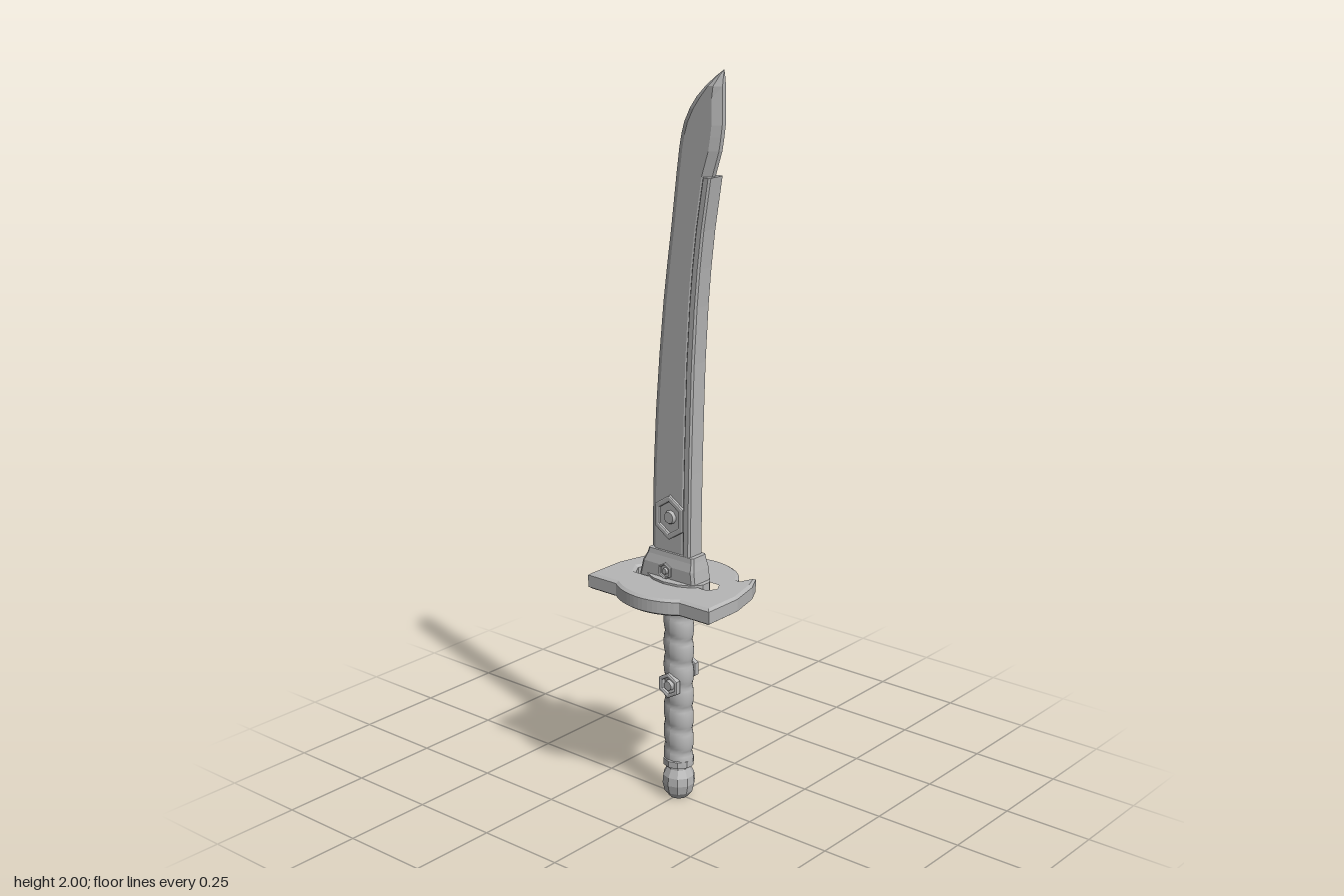
import * as THREE from 'three';

const steel = new THREE.MeshStandardMaterial({ color: 0xb6b6b6 });
steel.name = 'grey steel';

// Flat-shaded solid through horizontal rings of [x, y, z], each counter-clockwise from above
function loft(rings) {
  const pos = [];
  const tri = (a, b, c) => pos.push(...a, ...b, ...c);
  const n = rings[0].length;
  for (let k = 0; k < rings.length - 1; k++) {
    for (let i = 0; i < n; i++) {
      const j = (i + 1) % n, a = rings[k], b = rings[k + 1];
      tri(a[i], a[j], b[j]);
      tri(a[i], b[j], b[i]);
    }
  }
  const low = rings[0], top = rings[rings.length - 1];
  for (let i = 1; i < n - 1; i++) {
    tri(low[0], low[i + 1], low[i]);
    tri(top[0], top[i], top[i + 1]);
  }
  const g = new THREE.BufferGeometry();
  g.setAttribute('position', new THREE.Float32BufferAttribute(pos, 3));
  g.computeVertexNormals();
  return g;
}

// Ring with bevelled ends: l..r in x, half thickness t, bevel b, blunt end half thickness e
function section(y, l, r, t, b, e) {
  return [[l, y, e], [l + b, y, t], [r - b, y, t], [r, y, e],
    [r, y, -e], [r - b, y, -t], [l + b, y, -t], [l, y, -e]];
}

function part(name, geometry, parent) {
  const m = new THREE.Mesh(geometry, steel);
  m.name = name;
  parent.add(m);
  return m;
}

function hexagon(rx, ry, Type = THREE.Shape) {
  const pts = [];
  for (let i = 0; i < 6; i++) {
    const a = (i + 0.5) * Math.PI / 3;
    pts.push(new THREE.Vector2(Math.cos(a) * rx, Math.sin(a) * ry));
  }
  return new Type(pts);
}

// Hexagonal frame with a round bolt in it, facing +z from z = 0
function hexOrnament(name, rx, ry, depth, inner, boltRadius) {
  const g = new THREE.Group();
  g.name = name;
  const frame = hexagon(rx, ry);
  frame.holes.push(hexagon(rx * inner, ry * inner, THREE.Path));
  part(name + 'Frame', new THREE.ExtrudeGeometry(frame, {
    depth: depth - 0.002, bevelThickness: 0.002, bevelSize: 0.003, bevelOffset: -0.003, bevelSegments: 1
  }), g);
  const bolt = part(name + 'Bolt', new THREE.CylinderGeometry(boltRadius * 0.8, boltRadius, depth, 10), g);
  bolt.rotation.x = Math.PI / 2;
  bolt.position.z = depth / 2;
  return g;
}

// Puts an ornament on the front, and a turned copy on the back
function bothSides(parent, make, x, yFront, yBack, z) {
  const front = make(), back = make();
  front.position.set(x, yFront, z);
  back.position.set(x, yBack, -z);
  back.rotation.y = Math.PI;
  parent.add(front, back);
}

export function createModel() {
  const sword = new THREE.Group();
  sword.name = 'curvedSword';

  // Curved blade: height, cutting edge x, spine x
  const stations = [
    [0.65, -0.085, 0.057], [0.8, -0.084, 0.059], [0.95, -0.08, 0.061], [1.1, -0.072, 0.065],
    [1.25, -0.06, 0.07], [1.4, -0.045, 0.079], [1.5, -0.032, 0.088], [1.6, -0.018, 0.1],
    [1.735, -0.001, 0.122], [1.8, 0.008, 0.135], [1.835, 0.015, 0.141], [1.865, 0.024, 0.145],
    [1.9, 0.042, 0.145], [1.93, 0.064, 0.145], [1.96, 0.094, 0.145], [1.985, 0.124, 0.145], [2, 0.144, 0.145]
  ];
  part('blade', loft(stations.map(([y, l, r]) => {
    const w = r - l, k = Math.min(1, w / 0.045);
    const inset = y < 1.74 ? 0.008 : 0;
    return section(y, l, r - inset, 0.022 * k, Math.min(0.022, w * 0.35), 0.007 * k);
  })), sword);

  // Thicker strip along the spine
  part('spineStrip', loft(stations.slice(0, 9).map(([y, l, r]) =>
    section(y, r - 0.024, r + 0.001, 0.028, 0.005, 0.023))), sword);

  // Emblems low on the blade
  bothSides(sword, () => hexOrnament('bladeEmblem', 0.055, 0.062, 0.011, 0.72, 0.02), -0.01, 0.82, 0.82, 0.02);

  // Collar at the foot of the blade, with bolts
  part('bladeCollar', loft([
    section(0.64, -0.11, 0.083, 0.037, 0.008, 0.031),
    section(0.685, -0.098, 0.078, 0.037, 0.008, 0.031),
    section(0.708, -0.086, 0.074, 0.031, 0.006, 0.026),
    section(0.722, -0.082, 0.072, 0.029, 0.006, 0.024)
  ]), sword);
  bothSides(sword, () => hexOrnament('collarBolt', 0.024, 0.024, 0.007, 0.7, 0.01), -0.015, 0.671, 0.671, 0.036);

  // Guard: outline in x and z, with horned rear corners and two slots
  const half = [[0.11, 0.13], [0.21, 0.13], [0.21, 0.012], [0.187, -0.08], [0.159, -0.132], [0.139, -0.09], [0.132, -0.09]];
  const outline = half.map(([x, z]) => new THREE.Vector2(x, z));
  const arc = (x0, z0, zEnd, flip) => {
    // Circle arc from (x0, z0) over (0, zEnd) to (-x0, z0)
    const h = Math.abs(zEnd - z0), R = (x0 * x0 + h * h) / (2 * h), a = Math.asin(Math.min(1, x0 / R));
    for (let i = 1; i < 16; i++) {
      const t = a - 2 * a * i / 16;
      outline.push(new THREE.Vector2(flip * R * Math.sin(t), zEnd - Math.sign(zEnd) * R * (1 - Math.cos(t))));
    }
  };
  arc(0.132, -0.09, -0.17, 1);
  half.slice().reverse().forEach(([x, z]) => outline.push(new THREE.Vector2(-x, z)));
  arc(0.11, 0.13, 0.167, -1);
  const guardShape = new THREE.Shape(outline);
  for (const s of [-1, 1]) {
    guardShape.holes.push(new THREE.Path([[0.08, 0.035], [0.123, 0.035], [0.144, 0], [0.123, -0.035], [0.08, -0.035]]
      .map(([x, z]) => new THREE.Vector2(s * x, z))));
  }
  const guard = part('guard', new THREE.ExtrudeGeometry(guardShape, {
    depth: 0.034, bevelThickness: 0.006, bevelSize: 0.009, bevelOffset: -0.009, bevelSegments: 1
  }), sword);
  guard.rotation.x = Math.PI / 2;
  guard.position.y = 0.639;

  // Oval washer passing through the guard
  const washerGeo = new THREE.CylinderGeometry(1, 1, 0.06, 14).toNonIndexed();
  washerGeo.scale(0.098, 1, 0.062);
  washerGeo.computeVertexNormals();
  part('guardWasher', washerGeo, sword).position.y = 0.621;

  // Grip with slanted wrapped ridges
  const gripGeo = new THREE.CylinderGeometry(1, 1, 0.5, 24, 64, true);
  const p = gripGeo.attributes.position;
  for (let i = 0; i < p.count; i++) {
    const x = p.getX(i), y = p.getY(i), z = p.getZ(i);
    const ridge = Math.abs(Math.sin(Math.PI * (y / 0.066 + 0.22 * x)));
    const r = 0.036 + 0.007 * Math.sqrt(ridge);
    p.setXYZ(i, x * r, y, z * r * 0.9);
  }
  gripGeo.computeVertexNormals();
  part('grip', gripGeo, sword).position.y = 0.35;
  bothSides(sword, () => hexOrnament('gripStud', 0.036, 0.036, 0.016, 0.68, 0.016), 0, 0.345, 0.375, 0.032);

  // Faceted pommel and its neck
  const profile = [[0, 0.002], [0.026, 0.002], [0.04, 0.02], [0.046, 0.045], [0.044, 0.068], [0.033, 0.09],
    [0.033, 0.096], [0.043, 0.1], [0.043, 0.118], [0.036, 0.124], [0, 0.124]];
  const pommelGeo = new THREE.LatheGeometry(profile.map(([r, y]) => new THREE.Vector2(r, y)), 10).toNonIndexed();
  pommelGeo.computeVertexNormals();
  part('pommel', pommelGeo, sword);

  return sword;
}
